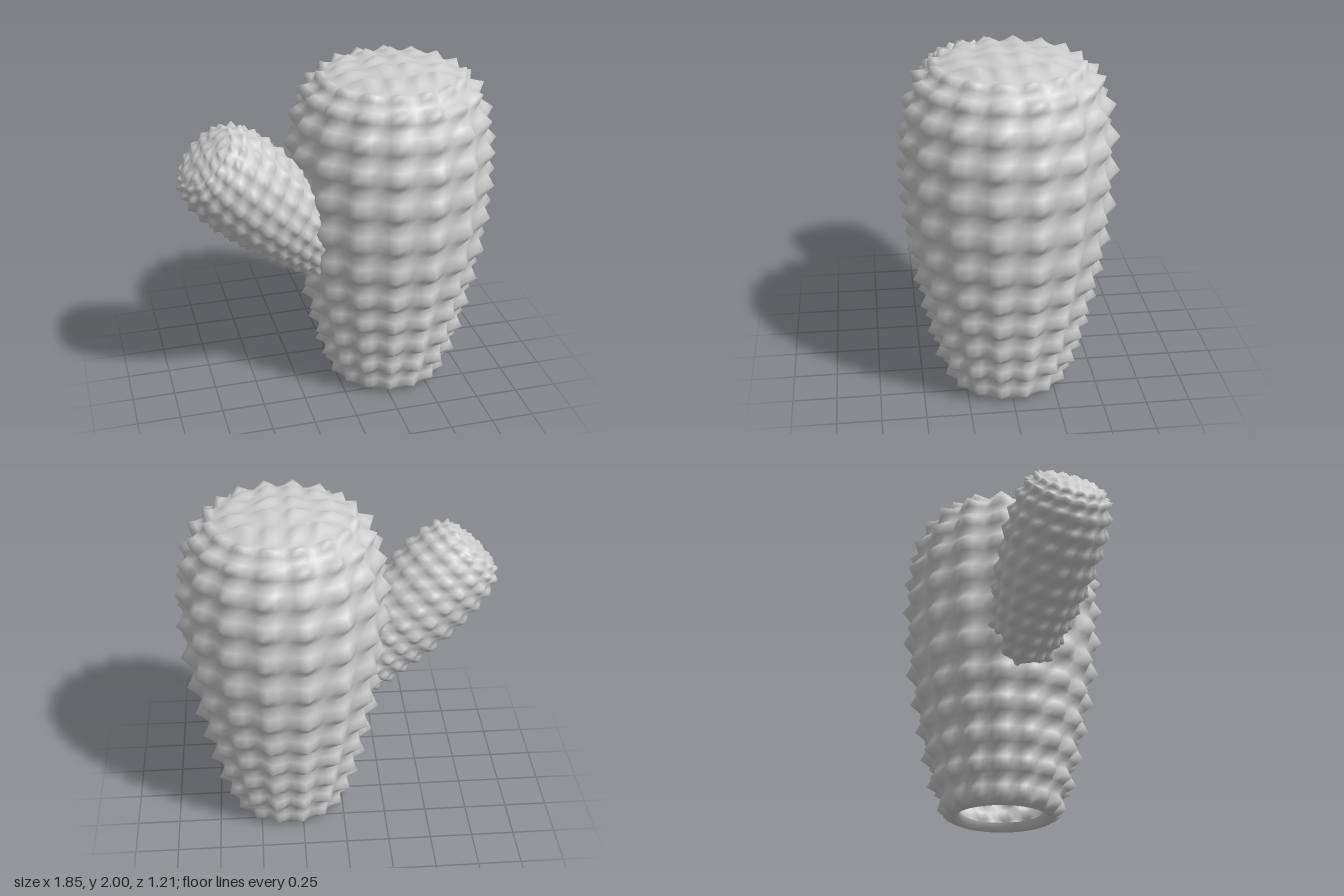
import * as THREE from 'three';
import { mergeGeometries, mergeVertices } from 'three/addons/utils/BufferGeometryUtils.js';

const COLUMNS = 16, SUB = 4;

// Valley profile: one point (radius, height) per boundary between rows of spikes
const profile = new THREE.SplineCurve([
  [0.31, 0.01], [0.345, 0.14], [0.385, 0.29], [0.425, 0.46], [0.46, 0.63], [0.495, 0.81], [0.525, 1.01],
  [0.54, 1.22], [0.545, 1.42], [0.53, 1.60], [0.49, 1.76], [0.43, 1.865], [0.36, 1.925],
].map(([r, y]) => new THREE.Vector2(r, y)));
const ROWS = profile.points.length - 1;
const CAP = profile.points[ROWS];

// Pyramid height in a unit cell: 0 on the border, 1 in the middle
const tent = (t) => 1 - Math.abs(2 * (t - Math.floor(t)) - 1);

// Side wall: rows and columns of pyramids pushed out along the profile normal
function wallGeometry() {
  const geo = new THREE.PlaneGeometry(1, 1, COLUMNS * SUB, ROWS * SUB);
  const pos = geo.attributes.position, uv = geo.attributes.uv;
  for (let i = 0; i < pos.count; i++) {
    const u = uv.getX(i), v = uv.getY(i);
    const p = profile.getPoint(v), n = profile.getTangent(v);
    const row = Math.min(ROWS - 1, Math.floor(v * ROWS + 1e-6));
    const height = row === 0 ? 0.05 : row === ROWS - 1 ? 0.05 : 0.073;
    const d = height * tent(u * COLUMNS) * tent(v * ROWS);
    const r = p.x + n.y * d, a = u * Math.PI * 2;
    pos.setXYZ(i, r * Math.sin(a), p.y - n.x * d, r * Math.cos(a));
  }
  return geo;
}

// Cap: a 4 x 4 grid of low pyramids, its square outline bent into a circle
function capGeometry() {
  const geo = new THREE.PlaneGeometry(2, 2, 4 * SUB, 4 * SUB).rotateX(-Math.PI / 2);
  const pos = geo.attributes.position;
  for (let i = 0; i < pos.count; i++) {
    const s = pos.getX(i), t = pos.getZ(i);
    const rho = Math.max(Math.abs(s), Math.abs(t));
    let a = 0;
    if (rho > 0) {
      a = Math.abs(s) >= Math.abs(t)
        ? Math.PI / 4 * t / s + (s < 0 ? Math.PI : 0)
        : Math.PI / 2 - Math.PI / 4 * s / t + (t < 0 ? Math.PI : 0);
    }
    const bump = 0.034 * tent(s * 2 + 2) * tent(t * 2 + 2);
    const r = rho * CAP.x + bump * rho * 0.4;
    pos.setXYZ(i, r * Math.cos(a), CAP.y + 0.045 * (1 - rho * rho) + bump, r * Math.sin(a));
  }
  return geo;
}

// Rounded lip turned in around the open bottom
function lipGeometry() {
  const points = [[0.24, 0.05], [0.25, 0.02], [0.275, 0.002], [0.31, 0.01]];
  return new THREE.LatheGeometry(points.map(([r, y]) => new THREE.Vector2(r, y)), COLUMNS * SUB);
}

function bodyGeometry() {
  const parts = [wallGeometry(), capGeometry(), lipGeometry()];
  for (const g of parts) {
    g.deleteAttribute('uv');
    g.deleteAttribute('normal');
  }
  const geo = mergeVertices(mergeGeometries(parts), 1e-4);
  geo.computeVertexNormals();
  return geo;
}

export function createModel() {
  const model = new THREE.Group();
  model.name = 'cactus';
  const material = new THREE.MeshStandardMaterial({ color: 0xcccccc, side: THREE.DoubleSide });
  const geometry = bodyGeometry();

  // Upright trunk
  const trunk = new THREE.Mesh(geometry, material);
  trunk.name = 'trunk';
  trunk.position.x = 0.325;
  model.add(trunk);

  // Smaller copy leaning out of the trunk as the arm
  const arm = new THREE.Mesh(geometry, material);
  arm.name = 'arm';
  const tip = new THREE.Vector3(-0.795, 1.635, 0.19);
  const direction = new THREE.Vector3(-0.7, 0.71, 0.15).normalize();
  arm.scale.set(0.49, 0.57, 0.49);
  arm.quaternion.setFromUnitVectors(new THREE.Vector3(0, 1, 0), direction);
  arm.position.copy(tip).addScaledVector(direction, -2 * arm.scale.y);
  model.add(arm);

  return model;
}
